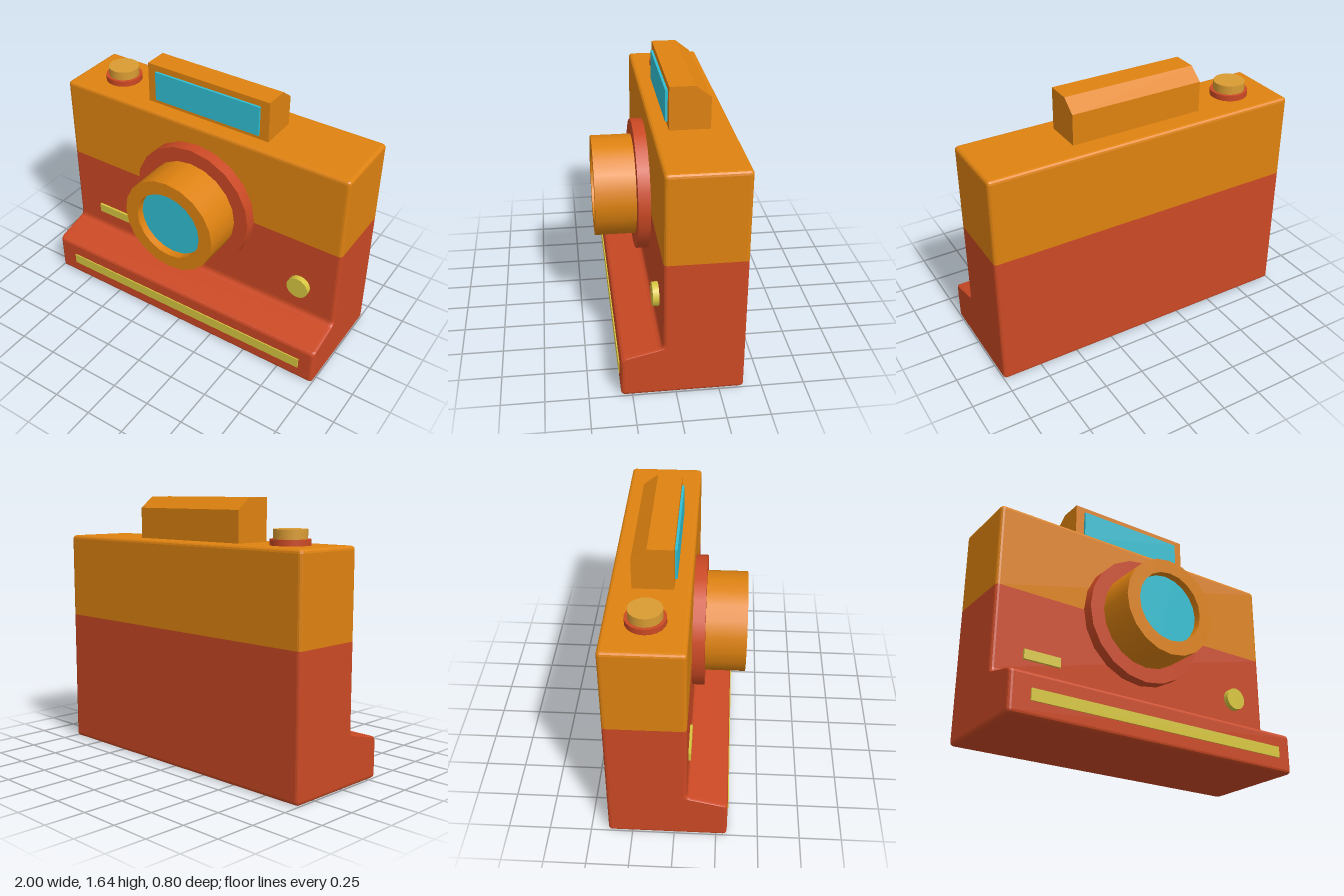
import * as THREE from 'three';

const mat = (name, color) => {
  const m = new THREE.MeshStandardMaterial({ color });
  m.name = name;
  return m;
};

const BACK = -0.395, FRONT = 0.075, R = 0.022, CENTRE_Y = 0.855;

// One horizontal rounded-rectangle section of the body, shrunk by inset
function section(y, front, inset = 0) {
  const r = R - inset * 0.9, steps = 3, pts = [];
  const x = 1 - inset - r, zf = front - inset - r, zb = BACK + inset + r;
  [[x, zf], [-x, zf], [-x, zb], [x, zb]].forEach(([cx, cz], k) => {
    for (let i = 0; i <= steps; i++) {
      const a = (k + i / steps) * Math.PI / 2;
      pts.push([cx + r * Math.cos(a), y, cz + r * Math.sin(a)]);
    }
  });
  return pts;
}

// Skin a stack of sections from bottom to top, closing one end
function loft(sections, capTop) {
  const pos = [], n = sections[0].length;
  const tri = (...p) => p.forEach(v => pos.push(...v));
  for (let i = 0; i < sections.length - 1; i++) {
    for (let j = 0; j < n; j++) {
      const k = (j + 1) % n, lo = sections[i], hi = sections[i + 1];
      tri(lo[j], hi[j], lo[k]);
      tri(lo[k], hi[j], hi[k]);
    }
  }
  const cap = capTop ? sections[sections.length - 1] : sections[0];
  const mid = [0, cap[0][1], (cap[0][2] + cap[n - 1][2]) / 2];
  for (let j = 0; j < n; j++) {
    const k = (j + 1) % n;
    if (capTop) tri(mid, cap[k], cap[j]);
    else tri(mid, cap[j], cap[k]);
  }
  const g = new THREE.BufferGeometry();
  g.setAttribute('position', new THREE.Float32BufferAttribute(pos, 3));
  g.computeVertexNormals();
  return g;
}

export function createModel() {
  const group = new THREE.Group();
  const orange = mat('orange', 0xde8210);
  const red = mat('red', 0xcb4924);
  const glass = mat('cyan glass', 0x30bfd2);
  const yellow = mat('yellow', 0xd8c63f);
  const tan = mat('tan', 0xda9c33);

  const add = (name, geometry, material, x = 0, y = 0, z = 0) => {
    const m = new THREE.Mesh(geometry, material);
    m.name = name;
    m.position.set(x, y, z);
    group.add(m);
    return m;
  };
  const box = (name, material, x0, x1, y0, y1, z0, z1) => add(name,
    new THREE.BoxGeometry(x1 - x0, y1 - y0, z1 - z0), material,
    (x0 + x1) / 2, (y0 + y1) / 2, (z0 + z1) / 2);
  const disc = (r, z0, z1, sides) =>
    new THREE.CylinderGeometry(r, r, z1 - z0, sides).rotateX(Math.PI / 2).translate(0, 0, (z0 + z1) / 2);

  // Body: red lower half with the sloping front foot, orange upper half
  const rounding = [0, 30, 60, 90].map(d => {
    const a = THREE.MathUtils.degToRad(d);
    return [R * (1 - Math.sin(a)), R * (1 - Math.cos(a))]; // inset, rise
  });
  const footProfile = [[0.232, 0.315], [0.246, 0.309], [0.255, 0.295], [0.301, 0.102],
    [0.308, 0.087], [0.318, 0.079], [0.335, FRONT], [0.85, FRONT]];
  add('lowerBody', loft([
    ...rounding.map(([inset, rise]) => section(rise, 0.315, inset)),
    ...footProfile.map(([y, z]) => section(y, z)),
  ], false), red);
  add('upperBody', loft([
    section(0.85, FRONT),
    ...rounding.slice().reverse().map(([inset, rise]) => section(1.385 - rise, FRONT, inset)),
  ], true), orange);

  // Lens: flange, hollow barrel and recessed glass
  add('lensFlange', disc(0.41, 0.06, 0.15, 20), red, 0, CENTRE_Y).material.flatShading = false;
  const V = (x, y) => new THREE.Vector2(x, y);
  const lathe = (a, b) => new THREE.LatheGeometry([a, b], 20).rotateX(Math.PI / 2);
  const barrel = {
    barrelSide: lathe(V(0.315, 0.14), V(0.315, 0.4)),
    barrelRim: new THREE.RingGeometry(0.226, 0.315, 20, 1, Math.PI / 2).translate(0, 0, 0.4),
    barrelBore: lathe(V(0.226, 0.4), V(0.226, 0.34)),
  };
  for (const [name, g] of Object.entries(barrel)) add(name, g, orange, 0, CENTRE_Y);
  add('lensGlass', disc(0.226, 0.33, 0.35, 20), glass, 0, CENTRE_Y);

  // Flash housing with chamfered back edge, extruded across x
  const s = new THREE.Shape([V(0.025, 1.37), V(0.265, 1.37), V(0.265, 1.575), V(0.175, 1.645), V(0.025, 1.645)]);
  add('flashHousing', new THREE.ExtrudeGeometry(s, { depth: 0.85, bevelEnabled: false })
    .rotateY(Math.PI / 2).translate(-0.425, 0, 0), orange);
  box('flashGlass', glass, -0.365, 0.365, 1.415, 1.605, -0.03, -0.01);

  // Shutter button on top
  add('buttonCollar', new THREE.CylinderGeometry(0.116, 0.116, 0.045, 20), red, -0.725, 1.3975, -0.16);
  add('buttonCap', new THREE.CylinderGeometry(0.097, 0.097, 0.075, 20), tan, -0.725, 1.4375, -0.16);

  // Yellow front details
  box('photoSlot', yellow, -0.87, 0.9, 0.09, 0.16, 0.313, 0.322);
  box('frontBadge', yellow, -0.805, -0.565, 0.425, 0.485, 0.07, 0.09);
  add('frontKnob', disc(0.072, 0.07, 0.112, 16), yellow, 0.75, 0.515);

  return group;
}
